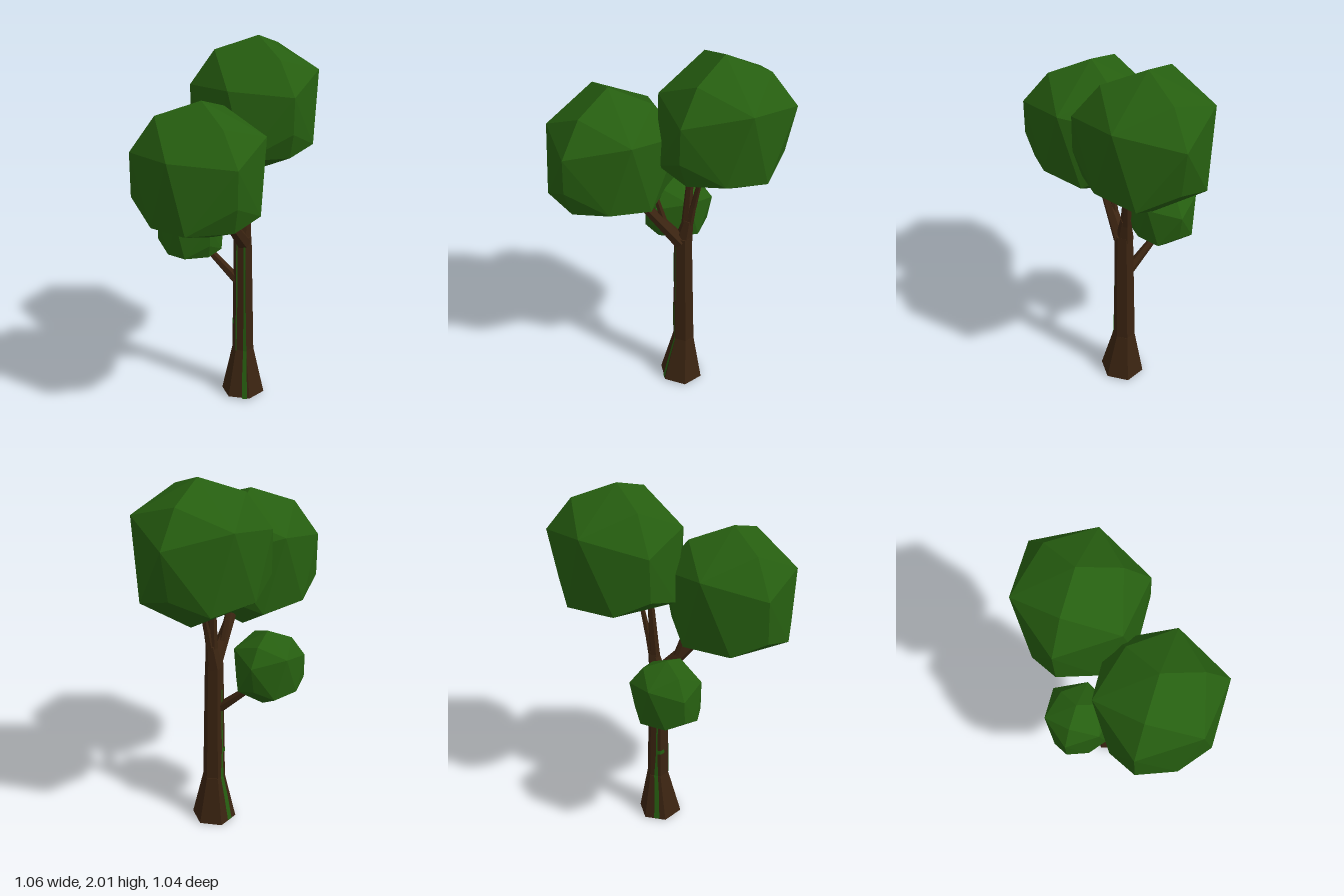
import * as THREE from 'three';
import { ConvexGeometry } from 'three/addons/geometries/ConvexGeometry.js';

const V = (x, y, z) => new THREE.Vector3(x, y, z);

export function createModel() {
  const tree = new THREE.Group();
  tree.name = 'tree';
  const bark = new THREE.MeshStandardMaterial({ name: 'bark', color: 0x3b2411, flatShading: true });
  const leaf = new THREE.MeshStandardMaterial({ name: 'leaf', color: 0x265e10, flatShading: true });
  const moss = new THREE.MeshStandardMaterial({ name: 'moss', color: 0x265e10, flatShading: true, side: THREE.DoubleSide });

  const add = (geometry, material, name) => {
    const mesh = new THREE.Mesh(geometry, material);
    mesh.name = name;
    tree.add(mesh);
    return mesh;
  };

  // Faceted crown, shared by all three clumps
  const crown = new ConvexGeometry([
    [.018, .37, -.016], [-.199, .295, -.082], [.06, .284, .2], [.18, .29, -.17],
    [-.218, .146, .2], [.32, .19, .08], [-.05, .19, -.325],
    [-.32, .11, -.125], [.093, .12, .33], [.28, .12, -.256],
    [-.32, -.12, -.12], [.09, -.07, .33], [.24, -.14, -.23],
    [.323, -.212, -.036], [.258, -.18, .18], [-.15, -.208, .262],
    [-.274, -.21, .092], [-.188, -.2, -.245], [.066, -.21, -.322],
    [.09, -.208, .285], [.078, -.367, -.065],
  ].map(p => V(...p)));
  for (const [name, x, y, z, s] of [
    ['upperCrown', .208, 1.63, -.198, 1],
    ['frontCrown', -.212, 1.42, .185, 1],
    ['smallCrown', -.142, .965, -.225, .54],
  ]) {
    const clump = add(crown, leaf, name);
    clump.position.set(x, y, z);
    clump.scale.setScalar(s);
  }

  // Tapered six-sided limb between two points
  function limb(name, a, b, r0, r1, sides = 6) {
    const dir = b.clone().sub(a);
    const mesh = add(new THREE.CylinderGeometry(r1, r0, dir.length(), sides), bark, name);
    mesh.position.copy(a).add(b).multiplyScalar(.5);
    mesh.quaternion.setFromUnitVectors(V(0, 1, 0), dir.normalize());
  }

  // Trunk: centre and radius at each level
  const rings = [
    { c: V(.104, 0, -.07), r: .12 },
    { c: V(.107, .27, -.082), r: .06 },
    { c: V(.1, .95, -.075), r: .049 },
  ];
  limb('trunkFoot', rings[0].c, rings[1].c, .12, .06);
  limb('trunk', rings[1].c, rings[2].c, .06, .049);

  // Branches
  limb('crownFork', V(.1, .93, -.08), V(.122, 1.06, -.09), .048, .028);
  limb('upperBranch', V(.112, 1.0, -.085), V(.12, 1.45, -.11), .03, .013);
  limb('sideBranch', V(.12, 1.0, -.09), V(.148, 1.16, -.1), .024, .017);
  limb('sideTwig', V(.148, 1.15, -.1), V(.2, 1.42, -.12), .017, .009);
  limb('frontBranch', V(.1, .92, -.06), V(-.08, 1.18, .1), .042, .022);
  limb('frontTwig', V(.03, 1.02, -.01), V(-.03, 1.25, .03), .02, .012);
  limb('lowBranch', V(.09, .67, -.08), V(-.08, .87, -.23), .03, .017);

  // Thin moss ribbon on one trunk face; rows are [y, start, end] across the face
  function mossStrip(face, rows) {
    const position = [], index = [];
    for (const [y, t0, t1] of rows) {
      const lower = y < .27 ? 0 : 1;
      const [p, q] = [rings[lower], rings[lower + 1]];
      const k = (y - p.c.y) / (q.c.y - p.c.y);
      const c = p.c.clone().lerp(q.c, k);
      const r = THREE.MathUtils.lerp(p.r, q.r, k) + .002;
      const corner = i => V(Math.sin(i * Math.PI / 3) * r, 0, Math.cos(i * Math.PI / 3) * r).add(c);
      for (const t of [t0, t1]) position.push(...corner(face).lerp(corner(face - 1), t).toArray());
    }
    for (let i = 0; i < rows.length - 1; i++) {
      const a = i * 2;
      index.push(a, a + 2, a + 1, a + 1, a + 2, a + 3);
    }
    const g = new THREE.BufferGeometry();
    g.setAttribute('position', new THREE.Float32BufferAttribute(position, 3));
    g.setIndex(index);
    g.computeVertexNormals();
    add(g, moss, 'mossStrip');
  }
  mossStrip(0, [[0, .12, .36], [.14, .08, .36], [.27, 0, .3], [.6, .05, .25], [.93, 0, .25]]);
  mossStrip(0, [[.27, .9, 1], [.6, .85, 1], [.93, .9, 1]]);
  mossStrip(-2, [[0, .3, .55], [.14, .25, .55], [.27, .25, .6], [.42, .3, .45], [.8, .25, .4]]);
  mossStrip(-2, [[.42, 0, .4], [.445, 0, .4]]);
  mossStrip(-1, [[.42, .5, 1], [.445, .55, 1]]);

  return tree;
}
